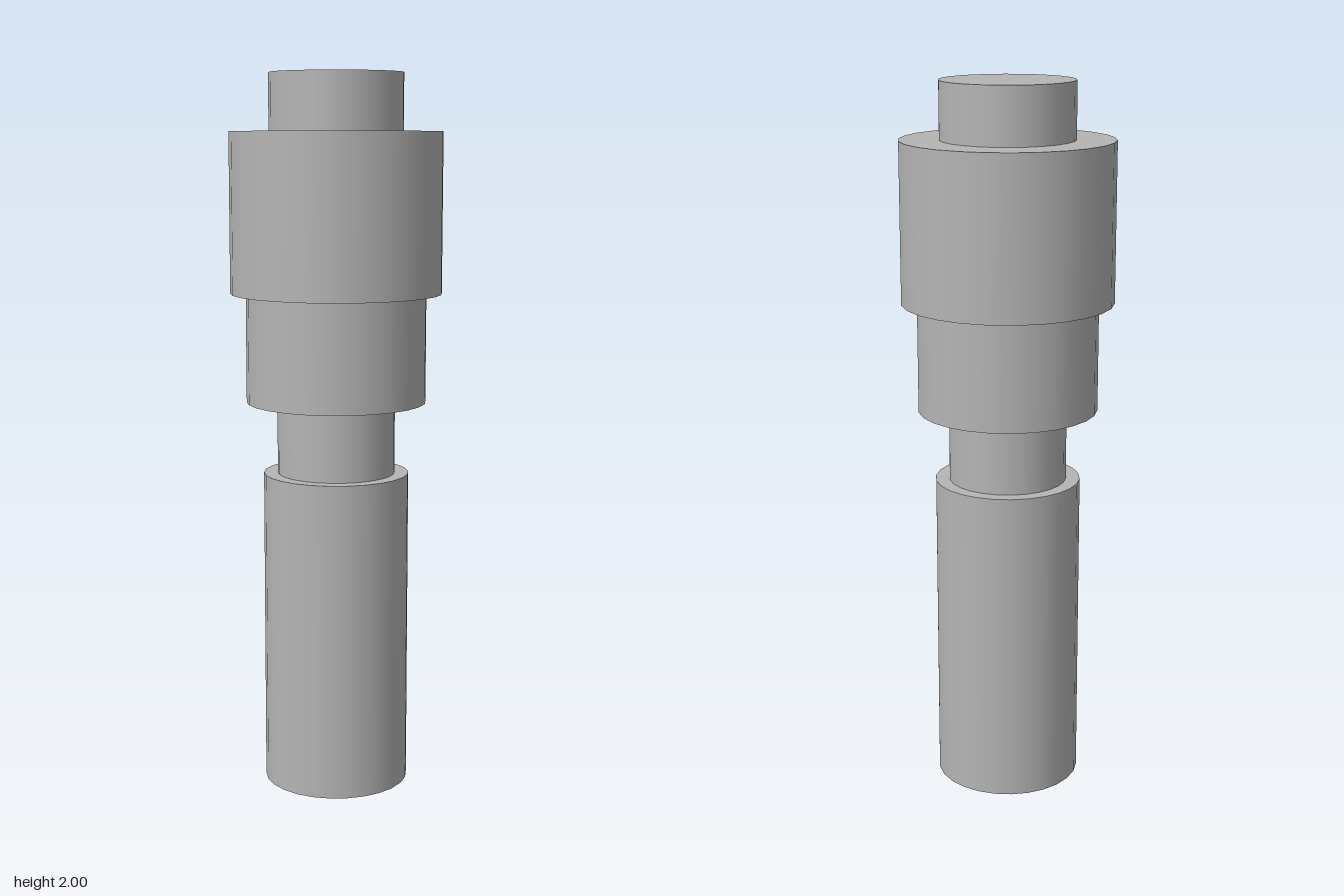
import * as THREE from 'three';

const SIDES = 26;

export function createModel() {
  const model = new THREE.Group();
  model.name = 'steppedShaft';
  const steel = new THREE.MeshStandardMaterial({ color: 0xb4b4b4 });
  steel.name = 'grey steel';

  // Stacked sections, bottom to top: name, radius, bottom y, top y
  const sections = [
    ['shank', 0.204, 0, 0.895],
    ['neck', 0.165, 0.895, 1.096],
    ['lowerCollar', 0.251, 1.096, 1.4],
    ['upperCollar', 0.294, 1.4, 1.843],
    ['endStub', 0.185, 1.843, 2],
  ];

  for (const [name, radius, bottom, top] of sections) {
    // Start at the side so that corners fall on the x axis
    const geometry = new THREE.CylinderGeometry(
      radius, radius, top - bottom, SIDES, 1, false, Math.PI / 2);
    const mesh = new THREE.Mesh(geometry, steel);
    mesh.name = name;
    mesh.position.y = (bottom + top) / 2;
    model.add(mesh);
  }
  return model;
}
